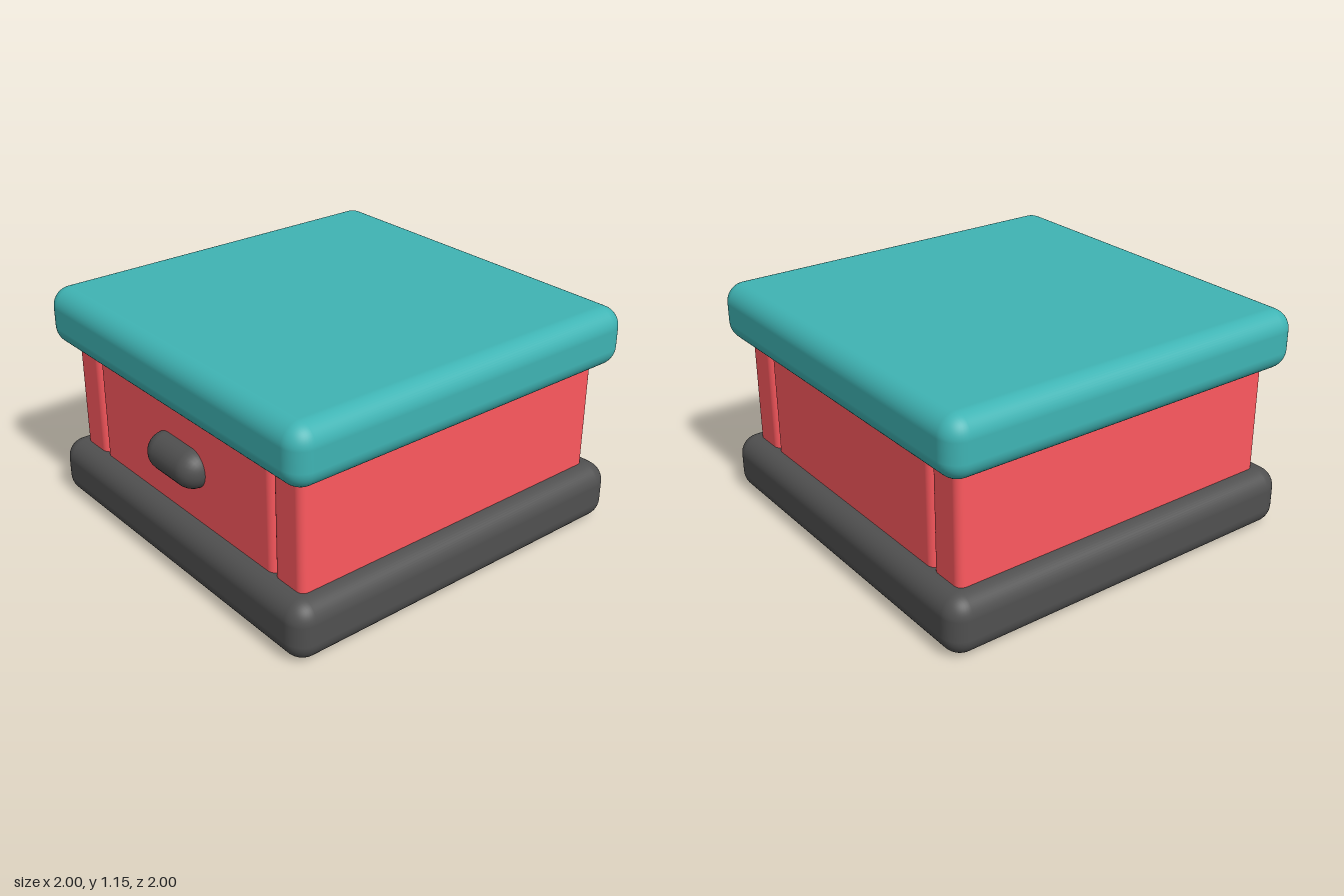
import * as THREE from 'three';
import { RoundedBoxGeometry } from 'three/addons/geometries/RoundedBoxGeometry.js';

const TEAL = 0x3fb4b4, RED = 0xfe595f, DARK = 0x505050;

export function createModel() {
  const model = new THREE.Group();
  model.name = 'box';

  const materials = {};
  const mat = (color) => (materials[color] ??= new THREE.MeshStandardMaterial({ color }));

  // Adds one soft-edged block: size, radius and centre
  function block(name, color, [w, h, d], radius, [x, y, z], parent = model) {
    const mesh = new THREE.Mesh(new RoundedBoxGeometry(w, h, d, 6, radius), mat(color));
    mesh.name = name;
    mesh.position.set(x, y, z);
    parent.add(mesh);
  }

  // Lid
  block('lid', TEAL, [2, 0.3, 2], 0.1, [0, 1, 0]);

  // Body: a centre block flanked by two side panels, meeting in a soft seam
  const body = new THREE.Group();
  body.name = 'body';
  model.add(body);
  block('bodyCentre', RED, [1.4, 0.95, 1.8], 0.04, [0, 0.575, 0], body);

  // Base: open frame of four rounded rails
  const base = new THREE.Group();
  base.name = 'baseFrame';
  model.add(base);

  for (const [side, s] of [['left', 1], ['right', -1]]) {
    block(`${side}SidePanel`, RED, [0.2, 0.95, 1.8], 0.04, [s * 0.8, 0.575, 0], body);
    block(`${side}Rail`, DARK, [0.2, 0.3, 2], 0.1, [s * 0.9, 0.15, 0], base);
  }
  for (const [side, s] of [['front', 1], ['back', -1]]) {
    block(`${side}Rail`, DARK, [2, 0.3, 0.2], 0.1, [0, 0.15, s * 0.9], base);
  }

  // Handle: a capsule half sunk into the front
  const handle = new THREE.Mesh(new THREE.CapsuleGeometry(0.1, 0.2, 10, 24), mat(DARK));
  handle.name = 'handle';
  handle.rotation.z = Math.PI / 2;
  handle.position.set(0, 0.573, 0.9);
  model.add(handle);

  return model;
}
